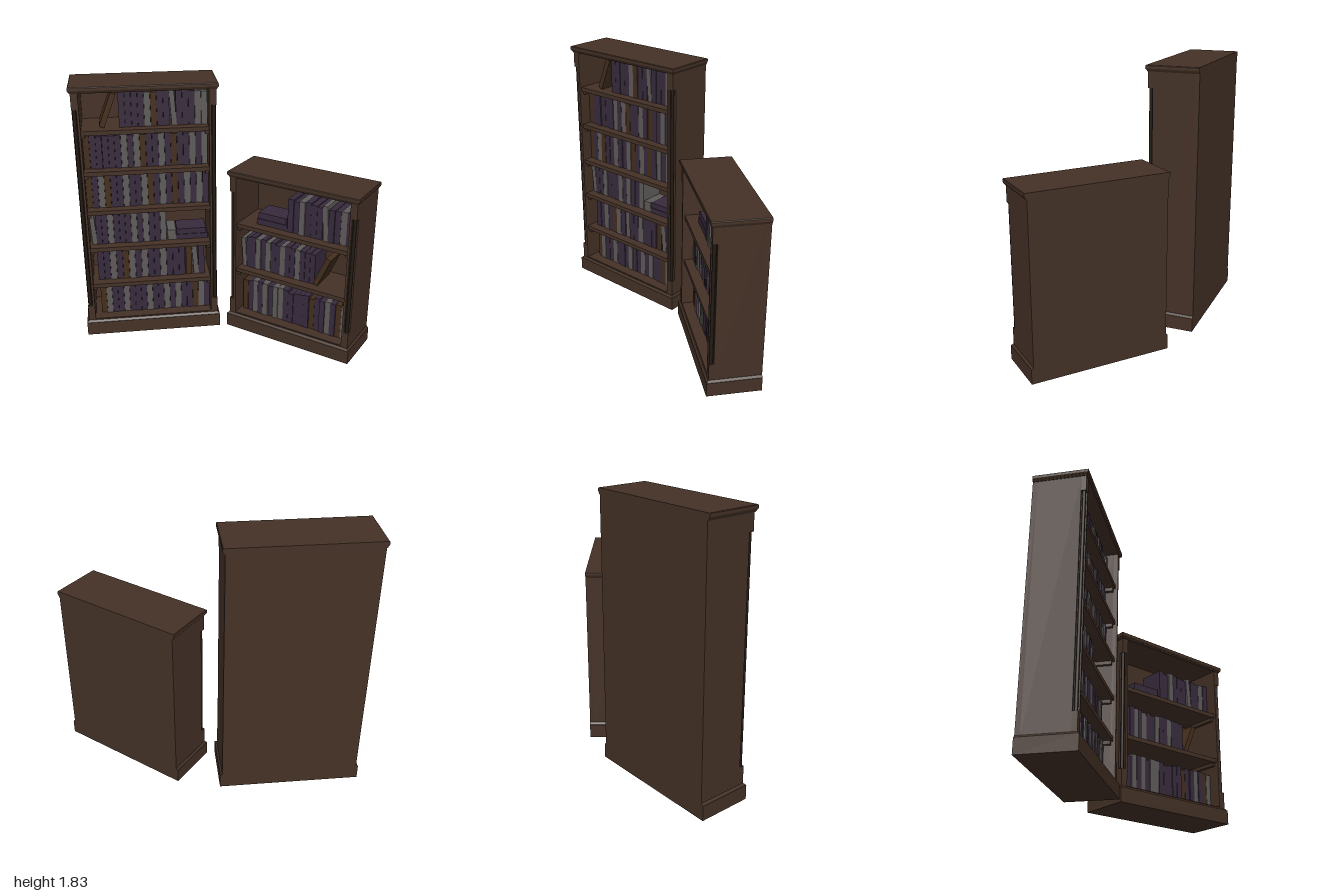
import * as THREE from 'three';

const mat = (name, color) => Object.assign(new THREE.MeshStandardMaterial({ color }), { name });
const wood = mat('brown wood', 0x443126);
const dark = mat('dark wood', 0x231a13);
const purple = mat('purple cloth', 0x372a3c);
const grey = mat('grey cloth', 0x5e5a5a);
const tan = mat('brown leather', 0x432e1c);
const cloth = { P: purple, G: grey, B: tan };

let seed = 7;
const rnd = () => (seed = (seed * 16807) % 2147483647) / 2147483647;

function add(parent, name, geo, material, x = 0, y = 0, z = 0) {
  const m = new THREE.Mesh(geo, material);
  m.name = name;
  m.position.set(x, y, z);
  parent.add(m);
  return m;
}

// box given by its limits
const box = (p, name, x0, x1, y0, y1, z0, z1, m = wood) =>
  add(p, name, new THREE.BoxGeometry(x1 - x0, y1 - y0, z1 - z0), m, (x0 + x1) / 2, (y0 + y1) / 2, (z0 + z1) / 2);

const W = 0.483, D = 0.181;          // half width and half depth
const BX = 0.468, FZ = 0.166;        // body side and body front
const IX = 0.42, BACK = -0.15;       // inner side and inner back

// moulding: inset differs at bottom and top, back stays flush
function moulding(p, name, y0, y1, inset0, inset1) {
  const g = new THREE.BoxGeometry(2, y1 - y0, 2).toNonIndexed();
  const a = g.attributes.position;
  for (let i = 0; i < a.count; i++) {
    const k = a.getY(i) > 0 ? inset1 : inset0;
    a.setX(i, a.getX(i) * (W - k));
    a.setZ(i, a.getZ(i) > 0 ? D - k : -D);
  }
  g.computeVertexNormals();
  return add(p, name, g, wood, 0, (y0 + y1) / 2, 0);
}

// one upright book standing at x, turned about its lower corner
function book(p, x, y, w, h, m, tilt = 0, z1 = 0.09) {
  const pivot = new THREE.Group();
  pivot.name = 'book';
  pivot.position.set(tilt < 0 ? x + w : x, y, 0);
  pivot.rotation.z = tilt;
  p.add(pivot);
  const x0 = tilt < 0 ? -w : 0;
  box(pivot, 'bookCover', x0, x0 + w, 0, h, -0.1, z1, m);
}

// row of books from a letter code; a lower case letter leans
function row(p, code, x0, x1, y, h) {
  const step = (x1 - x0) / code.length;
  [...code].forEach((c, i) => {
    const lean = c !== c.toUpperCase();
    const height = h - 0.025 * rnd();
    const z1 = 0.09 - 0.012 * rnd();
    book(p, x0 + i * step + (lean ? 0.012 : 0), y, step * (lean ? 0.8 : 0.97), height,
      cloth[c.toUpperCase()], lean ? 0.06 : 0, z1);
  });
}

function bookcase(name, H, shelves) {
  const g = new THREE.Group();
  g.name = name;
  // plinth and cornice
  moulding(g, 'plinth', 0, 0.098, 0, 0);
  moulding(g, 'plinthBevel', 0.098, 0.112, 0.002, 0.014);
  box(g, 'floorBoard', -IX, IX, 0.11, 0.12, BACK, FZ - 0.004);
  moulding(g, 'corniceCove', H - 0.042, H - 0.03, 0.012, 0.005);
  moulding(g, 'corniceLip', H - 0.03, H - 0.022, 0.004, 0);
  moulding(g, 'corniceTop', H - 0.022, H - 0.004, 0, 0);
  moulding(g, 'corniceEdge', H - 0.004, H, 0, 0.004);
  const top = H - 0.041, lo = 0.23, hi = H - 0.15, n = 0.032;
  box(g, 'backPanel', -BX, BX, 0.1, top, -D, BACK);
  for (const s of [-1, 1]) {
    const side = (part, a, b, y0, y1, z0, z1, m) =>
      box(g, part, Math.min(s * a, s * b), Math.max(s * a, s * b), y0, y1, z0, z1, m);
    // side wall with a notched front corner holding a slim column
    side('sideWall', IX, BX, 0.1, top, BACK, FZ - n);
    side('frontStile', IX, BX - n, 0.1, top, FZ - n, FZ);
    side('lowerCornerBlock', BX - n, BX, 0.1, lo, FZ - n, FZ);
    side('upperCornerBlock', BX - n, BX, hi, top, FZ - n, FZ);
    side('cornerRecess', BX - n, BX - 0.016, lo, hi, FZ - n, FZ - 0.016, dark);
    add(g, 'cornerColumn', new THREE.CylinderGeometry(0.0115, 0.0115, hi - lo, 16), dark,
      s * (BX - 0.016), (lo + hi) / 2, FZ - 0.016);
    // cleats under the shelves
    for (const y of shelves) side('shelfCleat', IX - 0.024, IX, y - 0.055, y - 0.03, BACK, 0.135);
  }
  for (const y of shelves) box(g, 'shelf', -IX, IX, y - 0.03, y, BACK, 0.15);
  return g;
}

export function createModel() {
  const model = new THREE.Group();
  model.name = 'bookcases';

  // tall bookcase
  const tall = bookcase('tallBookcase', 1.83, [0.395, 0.68, 0.96, 1.245, 1.53]);
  tall.position.set(-0.517, 0, -0.309);
  row(tall, 'BGPPGPPPGPPGPGPPBGP', -0.375, 0.42, 0.12, 0.255);
  row(tall, 'PPGPBGPGPPGPPP', -0.38, 0.245, 0.395, 0.25);
  row(tall, 'BgP', 0.25, 0.385, 0.395, 0.245);
  row(tall, 'gPPGPPPGPGPPG', -0.415, 0.118, 0.68, 0.255);
  row(tall, 'BPGBPPGPPGBPGPBPGPGP', -0.42, 0.42, 0.96, 0.26);
  row(tall, 'BPPPPPGPGBPPGPBPPGPG', -0.418, 0.418, 1.245, 0.25);
  row(tall, 'PPPPGBPPgPPPGG', -0.17, 0.418, 1.53, 0.25);
  book(tall, -0.305, 1.53, 0.036, 0.24, tan, -0.37);
  // lying books
  box(tall, 'lyingBook', 0.185, 0.41, 0.68, 0.718, -0.09, 0.08, purple);
  box(tall, 'lyingBook', 0.19, 0.4, 0.718, 0.758, -0.08, 0.075, purple);
  box(tall, 'lyingBook', 0.125, 0.185, 0.68, 0.755, -0.09, 0.08, grey);
  model.add(tall);

  // short bookcase, turned towards the tall one
  const short = bookcase('shortBookcase', 1.22, [0.48, 0.83]);
  short.position.set(0.508, 0, 0.037);
  short.rotation.y = -0.69;
  row(short, 'BPGPGPGGPPPPPBPPGPBG', -0.4, 0.415, 0.12, 0.26);
  row(short, 'gPPGPGPPGPPGPPP', -0.415, 0.16, 0.48, 0.245);
  book(short, 0.15, 0.48, 0.036, 0.235, tan, -0.4);
  row(short, 'PPGPPPgPPGP', -0.06, 0.415, 0.83, 0.255);
  box(short, 'lyingBook', -0.3, -0.065, 0.83, 0.872, -0.09, 0.08, purple);
  box(short, 'lyingBook', -0.29, -0.075, 0.872, 0.918, -0.08, 0.075, purple);
  model.add(short);

  return model;
}
